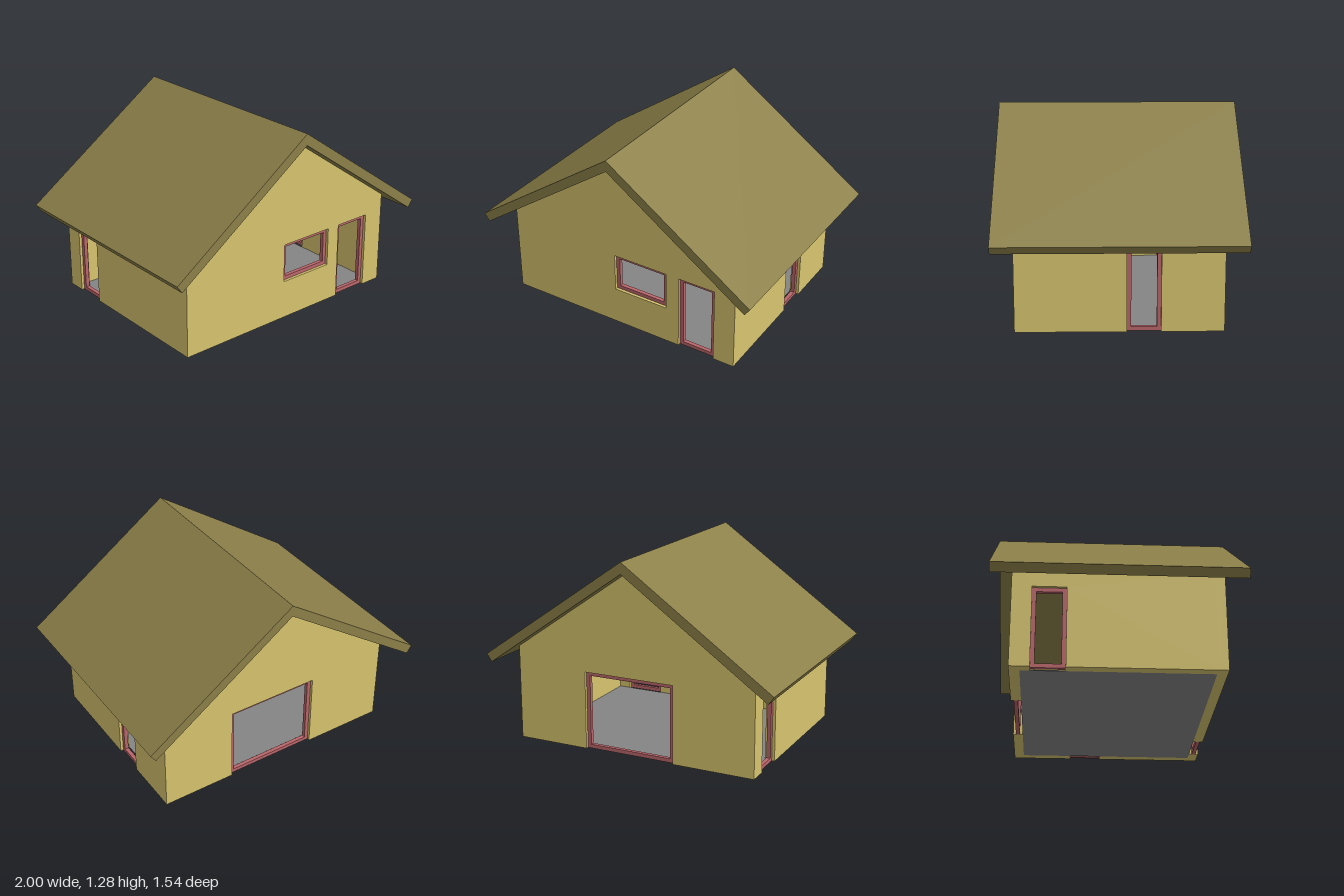
import * as THREE from 'three';

const W = 0.833, D = 0.642;          // half width and half depth of the walls
const T = 0.064;                     // wall thickness
const FRAME = 0.026;                 // frame bar size
const RIDGE = 1.21, SLOPE = 0.698;   // underside of the roof
const EAVE = RIDGE - SLOPE * W;
const HEAD = 0.517;                  // top of all openings

const wallMat = new THREE.MeshStandardMaterial({ color: 0xd8c56f });
const roofMat = new THREE.MeshStandardMaterial({ color: 0x8c8049 });
const frameMat = new THREE.MeshStandardMaterial({ color: 0xba666a });
const floorMat = new THREE.MeshStandardMaterial({ color: 0x858585 });

const toPoints = (list) => list.map(([x, y]) => new THREE.Vector2(x, y));
const rect = (x0, x1, y0, y1) => toPoints([[x0, y0], [x1, y0], [x1, y1], [x0, y1]]);

function extrude(shape, depth, z) {
  const geo = new THREE.ExtrudeGeometry(shape, { depth, bevelEnabled: false });
  return geo.translate(0, 0, z);
}

function addMesh(parent, name, geo, mat) {
  const mesh = new THREE.Mesh(geo, mat);
  mesh.name = name;
  parent.add(mesh);
  return mesh;
}

// One wall seen from outside, with its openings and frames.
// Openings that reach the ground are notched into the outline.
function makeWall({ name, half, dist, turn, gable, openings }) {
  const group = new THREE.Group();
  group.name = name;
  const outline = [[-half, 0]];
  for (const { x0, x1, y0 } of openings) {
    if (y0 === 0) outline.push([x0, 0], [x0, HEAD], [x1, HEAD], [x1, 0]);
  }
  outline.push([half, 0], [half, EAVE]);
  if (gable) outline.push([0, RIDGE]);
  outline.push([-half, EAVE]);

  const shape = new THREE.Shape(toPoints(outline));
  for (const { x0, x1, y0 } of openings) {
    if (y0 > 0) shape.holes.push(new THREE.Path(rect(x0, x1, y0, HEAD)));
  }
  const geo = extrude(shape, T, dist - T);
  if (!gable) {
    // bevel the top of the side walls to meet the roof
    const pos = geo.attributes.position;
    for (let i = 0; i < pos.count; i++) {
      if (pos.getY(i) > 0.6) pos.setY(i, RIDGE - SLOPE * pos.getZ(i));
    }
    geo.computeVertexNormals();
  }
  addMesh(group, name + 'Panel', geo, wallMat);

  // frames sit in the middle of the wall thickness
  for (const { part, x0, x1, y0 } of openings) {
    const frame = new THREE.Shape(rect(x0, x1, y0, HEAD));
    frame.holes.push(new THREE.Path(rect(x0 + FRAME, x1 - FRAME, y0 + FRAME, HEAD - FRAME)));
    addMesh(group, part, extrude(frame, FRAME, dist - (T + FRAME) / 2), frameMat);
  }
  group.rotation.y = turn;
  return group;
}

export function createModel() {
  const house = new THREE.Group();
  house.name = 'house';

  const walls = [
    { name: 'frontWall', half: W, dist: D, turn: 0, gable: true, openings: [
      { part: 'windowFrame', x0: -0.047, x1: 0.338, y0: 0.258 },
      { part: 'frontDoorFrame', x0: 0.43, x1: 0.687, y0: 0 }] },
    { name: 'backWall', half: W, dist: D, turn: Math.PI, gable: true, openings: [
      { part: 'patioDoorFrame', x0: -0.34, x1: 0.282, y0: 0 }] },
    { name: 'leftWall', half: D - T, dist: W, turn: Math.PI / 2, gable: false, openings: [
      { part: 'leftDoorFrame', x0: 0.045, x1: 0.254, y0: 0 }] },
    { name: 'rightWall', half: D - T, dist: W, turn: -Math.PI / 2, gable: false, openings: [
      { part: 'rightDoorFrame', x0: -0.518, x1: -0.31, y0: 0 }] },
  ];
  for (const wall of walls) house.add(makeWall(wall));

  // thin floor between the walls
  const floor = new THREE.BoxGeometry(2 * (W - T), 0.005, 2 * (D - T));
  addMesh(house, 'floor', floor.translate(0, 0.0025, 0), floorMat);

  // two roof slabs meeting at the ridge, with square-cut eaves
  for (const side of [1, -1]) {
    const profile = [[0, RIDGE], [0.9645, RIDGE - SLOPE * 0.9645], [1, 0.587], [0, 1.285]];
    const shape = new THREE.Shape(toPoints(profile.map(([x, y]) => [side * x, y])));
    addMesh(house, side > 0 ? 'leftRoof' : 'rightRoof', extrude(shape, 1.54, -0.77), roofMat);
  }
  return house;
}
